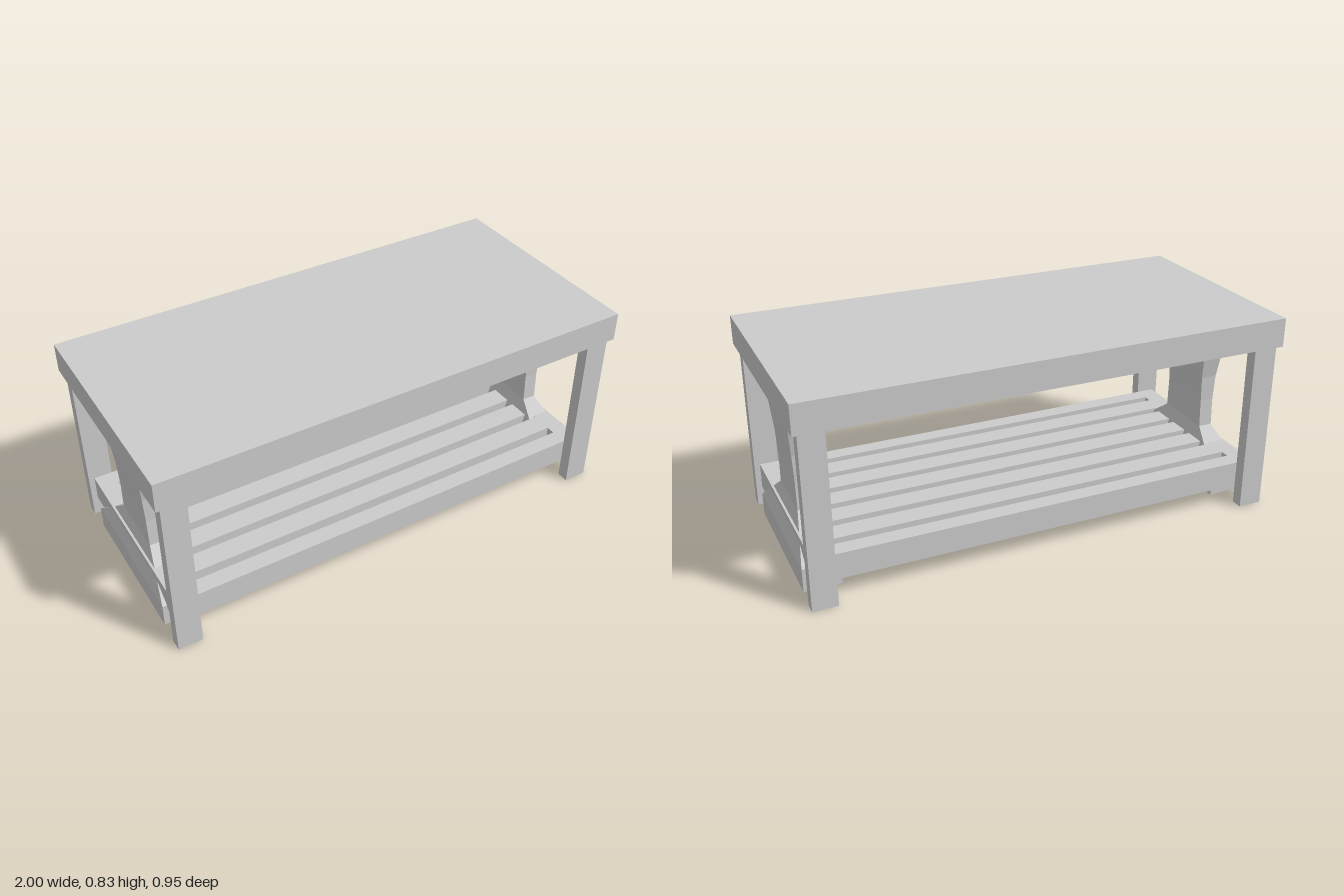
import * as THREE from 'three';

const material = new THREE.MeshStandardMaterial({ color: 0xcccccc, flatShading: true });

// Box given by its limits on each axis
function block(name, [x0, x1], [y0, y1], [z0, z1]) {
  const mesh = new THREE.Mesh(new THREE.BoxGeometry(x1 - x0, y1 - y0, z1 - z0), material);
  mesh.position.set((x0 + x1) / 2, (y0 + y1) / 2, (z0 + z1) / 2);
  mesh.name = name;
  return mesh;
}

// Solid through rectangular sections, bottom to top: [y, half width in x, z0, z1]
function loft(name, rows) {
  const pos = [];
  const rings = rows.map(([y, hx, z0, z1]) => [[-hx, y, z1], [hx, y, z1], [hx, y, z0], [-hx, y, z0]]);
  const quad = (a, b, c, d) => pos.push(...a, ...b, ...c, ...a, ...c, ...d);
  for (let i = 0; i < rings.length - 1; i++) {
    const lo = rings[i], hi = rings[i + 1];
    for (let k = 0; k < 4; k++) {
      const n = (k + 1) % 4;
      quad(lo[k], lo[n], hi[n], hi[k]);
    }
  }
  const [a, b, c, d] = rings[0];
  quad(d, c, b, a);
  quad(...rings[rings.length - 1]);
  const geometry = new THREE.BufferGeometry();
  geometry.setAttribute('position', new THREE.Float32BufferAttribute(pos, 3));
  geometry.computeVertexNormals();
  const mesh = new THREE.Mesh(geometry, material);
  mesh.name = name;
  return mesh;
}

// Flared end support with a wide foot, a waist and a notched head
function endSupport() {
  const group = new THREE.Group();
  group.name = 'endSupport';
  const profile = [
    [0, 0.075, 0.318], [0.097, 0.075, 0.318], [0.24, 0.03, 0.132], [0.36, 0.03, 0.128],
    [0.47, 0.035, 0.131], [0.58, 0.044, 0.15], [0.66, 0.049, 0.177],
  ];
  group.add(loft('supportBody', profile.map(([y, hx, hz]) => [y, hx, -hz, hz])));
  const horn = [[0.66, 0.049, 0.05, 0.177], [0.685, 0.05, 0.057, 0.185], [0.717, 0.05, 0.066, 0.208]];
  group.add(loft('supportHornFront', horn));
  group.add(loft('supportHornBack', horn.map(([y, hx, z0, z1]) => [y, hx, -z1, -z0])));
  return group;
}

export function createModel() {
  const model = new THREE.Group();
  model.name = 'coffeeTable';

  model.add(block('tableTop', [-1, 1], [0.715, 0.835], [-0.473, 0.473]));

  for (const s of [-1, 1]) {
    const span = (a, b) => (s > 0 ? [a, b] : [-b, -a]);
    // Corner legs
    for (const t of [-1, 1]) {
      model.add(block('leg', span(0.88, 0.98), [0, 0.715], t > 0 ? [0.407, 0.457] : [-0.457, -0.407]));
    }
    const support = endSupport();
    support.position.x = s * 0.9;
    model.add(support);
    // Shelf frame
    model.add(block('shelfEndRail', span(0.88, 0.956), [0.08, 0.187], [-0.407, 0.407]));
    model.add(block('shelfSideRail', [-0.88, 0.88], [0.08, 0.187], span(0.337, 0.407)));
  }

  // Lengthwise shelf slats with even gaps
  const count = 5, width = 0.09, pitch = 0.127;
  for (let i = 0; i < count; i++) {
    const z = (i - (count - 1) / 2) * pitch;
    model.add(block('shelfSlat', [-0.88, 0.88], [0.12, 0.187], [z - width / 2, z + width / 2]));
  }
  return model;
}
